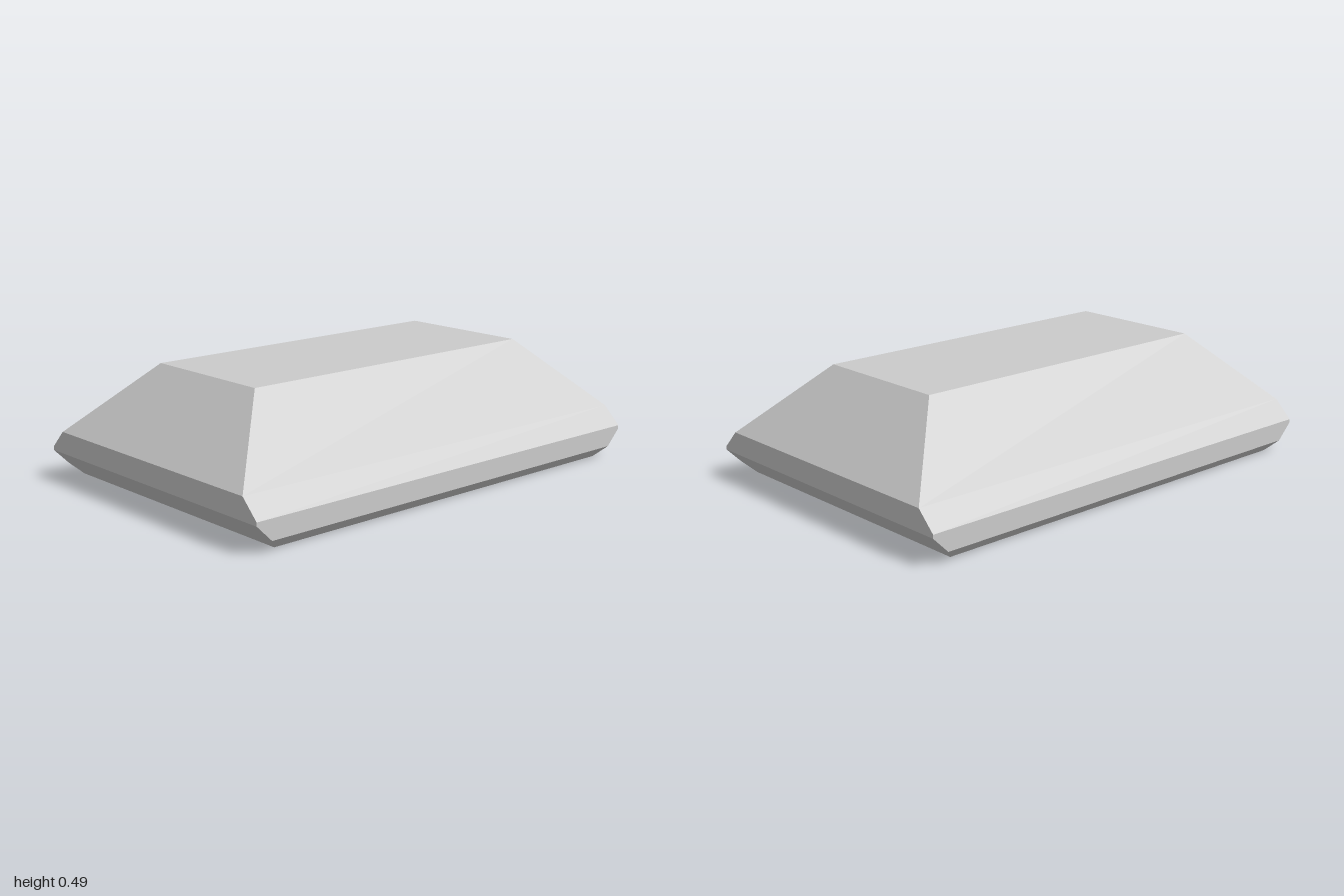
import * as THREE from 'three';

// Half-width and half-depth of the bevelled block at each height: [y, x, z]
const LEVELS = [
  [0, 0.62, 0.888],
  [0.045, 0.665, 0.933],
  [0.112, 0.665, 1],
  [0.127, 0.665, 1],
  [0.203, 0.589, 1],
  [0.492, 0.3, 0.711],
];

// Stack of rectangles joined by flat faces, closed at both ends
function loftRectangles(levels) {
  const rings = levels.map(([y, x, z]) =>
    [[x, z], [x, -z], [-x, -z], [-x, z]].map(([px, pz]) => [px, y, pz]));
  const positions = [];
  const quad = (a, b, c, d) => positions.push(...a, ...b, ...c, ...a, ...c, ...d);

  for (let r = 0; r < rings.length - 1; r++) {
    const low = rings[r], high = rings[r + 1];
    for (let i = 0; i < 4; i++) {
      const j = (i + 1) % 4;
      quad(low[i], low[j], high[j], high[i]);
    }
  }
  quad(...rings[rings.length - 1]);
  quad(...[...rings[0]].reverse());

  const geometry = new THREE.BufferGeometry();
  geometry.setAttribute('position', new THREE.Float32BufferAttribute(positions, 3));
  geometry.computeVertexNormals();
  return geometry;
}

export function createModel() {
  const group = new THREE.Group();
  group.name = 'bevelledBlock';

  // Single body: undercut base, narrow rim, sloped sides and flat top
  const material = new THREE.MeshStandardMaterial({ color: 0xcccccc, flatShading: true });
  const body = new THREE.Mesh(loftRectangles(LEVELS), material);
  body.name = 'body';
  group.add(body);

  return group;
}
